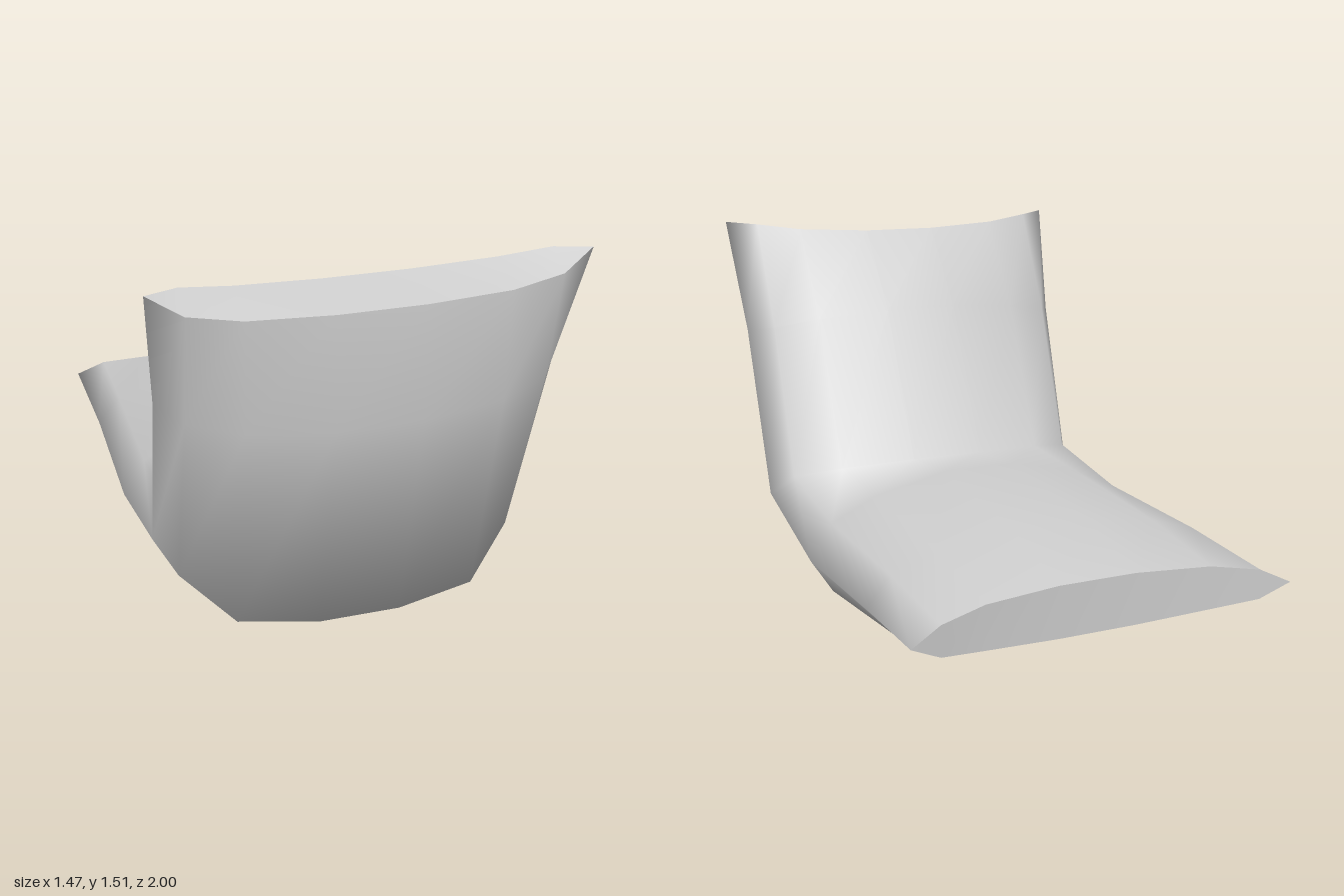
import * as THREE from 'three';

// Half cross-sections from seat end to top of back. Each lists [x, y, z] from
// the cushion centre, out over the rim, and back to the underside centre.
const X = [0.15, 0.44, 0.62, 0.7, 0.62, 0.44, 0.15];
const section = (tipX, yz) => yz.map(([y, z], i) => [i === 3 ? tipX : X[i], y, z]);
const level = (tipX, z, ys) => section(tipX, ys.map((y) => [y, z]));

const SECTIONS = [
  section(0.735, [[0.42, -0.9], [0.41, -0.93], [0.385, -0.975], [0.33, -1], [0.275, -0.975], [0.25, -0.93], [0.23, -0.9]]),
  level(0.71, -0.55, [0.52, 0.475, 0.42, 0.31, 0.21, 0.14, 0.1]),
  level(0.705, 0.04, [0.59, 0.525, 0.44, 0.3, 0.17, 0.095, 0]),
  section(0.69, [[0.57, 0.34], [0.55, 0.4], [0.52, 0.48], [0.43, 0.58], [0.33, 0.68], [0.18, 0.8], [0.15, 0.84]]),
  section(0.7, [[1.15, 0.6], [1.13, 0.63], [1.1, 0.68], [1.08, 0.79], [1.05, 0.9], [1.02, 0.97], [1, 1]]),
  section(0.735, [[1.465, 0.83], [1.48, 0.845], [1.505, 0.87], [1.515, 0.93], [1.45, 0.97], [1.42, 0.985], [1.41, 0.995]]),
];

// Mirror a half section into a closed ring: right rim, top, left rim, underside
function ring(half) {
  const mirrored = half.map(([x, y, z]) => [-x, y, z]);
  return [
    ...mirrored.slice(0, 4).reverse(),
    ...half,
    ...mirrored.slice(4).reverse(),
  ];
}

function build(points, index) {
  const g = new THREE.BufferGeometry();
  g.setAttribute('position', new THREE.Float32BufferAttribute(points.flat(), 3));
  g.setIndex(index);
  g.computeVertexNormals();
  return g;
}

// Smooth skin through all the rings
function skin(rings) {
  const n = rings[0].length, index = [];
  for (let i = 0; i < rings.length - 1; i++) {
    for (let j = 0; j < n; j++) {
      const a = i * n + j, b = i * n + (j + 1) % n;
      index.push(a, a + n, b, b, a + n, b + n);
    }
  }
  return build(rings.flat(), index);
}

// End cap made of strips between the upper and lower edge of a ring
function cap(points, flip) {
  const n = points.length, index = [];
  const tri = (a, b, c) => index.push(a, flip ? c : b, flip ? b : c);
  for (let k = 0; k < n / 2; k++) {
    const lowA = (n - k) % n, lowB = n - k - 1;
    if (k < n / 2 - 1) tri(k, k + 1, lowB);
    if (k > 0) tri(k, lowB, lowA);
  }
  return build(points, index);
}

export function createModel() {
  const group = new THREE.Group();
  group.name = 'seatShell';
  const material = new THREE.MeshStandardMaterial({ color: 0xcccccc });
  const add = (name, geometry) => {
    const mesh = new THREE.Mesh(geometry, material);
    mesh.name = name;
    group.add(mesh);
  };

  const rings = SECTIONS.map(ring);
  add('seatAndBack', skin(rings));
  add('seatEnd', cap(rings[0], false));
  add('backTop', cap(rings[rings.length - 1], true));
  return group;
}
